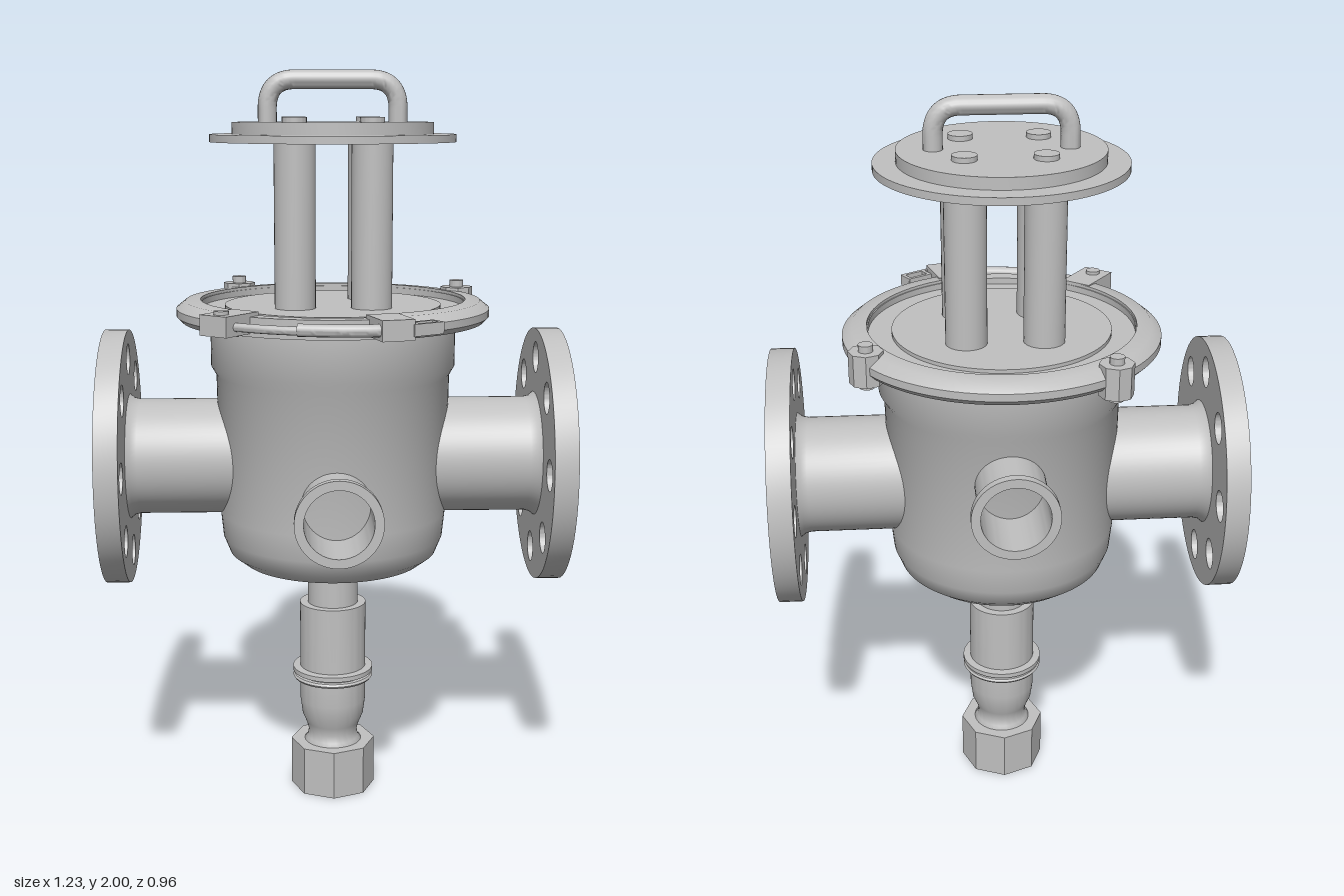
import * as THREE from 'three';
import { toCreasedNormals } from 'three/addons/utils/BufferGeometryUtils.js';

export function createModel() {
  const model = new THREE.Group();
  const steel = new THREE.MeshStandardMaterial({ color: 0xc0c0c0 });
  steel.name = 'steel';

  const add = (name, geometry, parent = model) => {
    const mesh = new THREE.Mesh(toCreasedNormals(geometry, 0.7), steel);
    mesh.name = name;
    parent.add(mesh);
    return mesh;
  };
  const lathe = (points, segments = 64, start = 0, length = Math.PI * 2) =>
    new THREE.LatheGeometry(points.map(p => new THREE.Vector2(...p)), segments, start, length);
  // upright cylinder between two heights
  const post = (r, y0, y1, x, z, sides = 32) =>
    new THREE.CylinderGeometry(r, r, y1 - y0, sides).translate(x, (y0 + y1) / 2, z);
  const hole = (x, y, r) => new THREE.Path().absarc(x, y, r, 0, Math.PI * 2, true);
  const tube = (points, r) => new THREE.TubeGeometry(
    new THREE.CatmullRomCurve3(points.map(p => new THREE.Vector3(...p))), 32, r, 12);

  // Vessel with rounded floor, wider neck, rim and recessed cover
  add('vessel', lathe([
    [0, 0.67], [0.2, 0.67], [0.25, 0.678], [0.285, 0.705], [0.303, 0.75], [0.31, 0.82],
    [0.316, 1.2], [0.33, 1.225], [0.33, 1.345], [0.39, 1.345], [0.39, 1.395],
    [0.352, 1.395], [0.352, 1.378], [0.29, 1.378], [0.29, 1.388], [0, 1.388],
  ], 96));

  // Side pipes with drilled blind flanges
  const disc = new THREE.Shape().absarc(0, 0, 0.346, 0, Math.PI * 2);
  for (let i = 0; i < 8; i++) {
    const a = i * Math.PI / 4;
    disc.holes.push(hole(Math.cos(a) * 0.268, Math.sin(a) * 0.268, 0.042));
  }
  for (const side of [1, -1]) {
    const port = new THREE.Group();
    port.name = side > 0 ? 'leftPort' : 'rightPort';
    port.position.y = 0.97;
    port.rotation.y = side * Math.PI / 2;
    model.add(port);
    add('flange', new THREE.ExtrudeGeometry(disc, { depth: 0.063, bevelEnabled: false, curveSegments: 32 })
      .translate(0, 0, 0.554), port);
    add('pipe', lathe([[0.157, 0.2], [0.157, 0.525], [0.161, 0.542], [0.172, 0.556]])
      .rotateX(Math.PI / 2), port);
  }

  // Open front and back spigots
  for (const [name, y, turn] of [['frontSpigot', 0.9, 0], ['backSpigot', 1.068, Math.PI]]) {
    const spigot = add(name, lathe([
      [0.092, 0.24], [0.092, 0.438], [0.112, 0.454], [0.112, 0.478], [0.088, 0.478], [0.088, 0.24],
    ]).rotateX(Math.PI / 2));
    spigot.position.y = y;
    spigot.rotation.y = turn;
  }

  // Drain column and octagonal nut
  add('drainColumn', lathe([
    [0, 0.08], [0.08, 0.08], [0.08, 0.135], [0.072, 0.145], [0.068, 0.165], [0.075, 0.19],
    [0.086, 0.215], [0.092, 0.26], [0.092, 0.325], [0.108, 0.325], [0.112, 0.331], [0.108, 0.337],
    [0.098, 0.338], [0.098, 0.345], [0.112, 0.345], [0.112, 0.358], [0.092, 0.36],
    [0.092, 0.547], [0.07, 0.547], [0.07, 0.68],
  ]));
  const octagon = new THREE.Shape();
  for (let i = 0; i < 8; i++) {
    const a = i * Math.PI / 4, x = Math.cos(a) * 0.118, y = Math.sin(a) * 0.118;
    i ? octagon.lineTo(x, y) : octagon.moveTo(x, y);
  }
  octagon.closePath();
  octagon.holes.push(hole(0, 0, 0.08));
  add('drainNut', new THREE.ExtrudeGeometry(octagon, { depth: 0.136, bevelEnabled: false, curveSegments: 32 })
    .rotateX(-Math.PI / 2));

  // Raised lid carried on four rods
  add('lid', lathe([
    [0, 1.815], [0.325, 1.815], [0.325, 1.835], [0.266, 1.835], [0.266, 1.866], [0, 1.866],
  ], 96));
  for (const x of [-0.102, 0.099]) for (const z of [-0.108, 0.097]) {
    add('rod', post(0.054, 1.37, 1.82, x, z));
    add('rodStud', post(0.032, 1.86, 1.879, x, z));
  }

  // Lid handle with rounded bends
  const grip = new THREE.CurvePath();
  const v = (x, y) => new THREE.Vector3(x, y, -0.005);
  grip.add(new THREE.LineCurve3(v(-0.172, 1.86), v(-0.172, 1.9)));
  grip.add(new THREE.QuadraticBezierCurve3(v(-0.172, 1.9), v(-0.172, 1.975), v(-0.1, 1.975)));
  grip.add(new THREE.LineCurve3(v(-0.1, 1.975), v(0.1, 1.975)));
  grip.add(new THREE.QuadraticBezierCurve3(v(0.1, 1.975), v(0.172, 1.975), v(0.172, 1.9)));
  grip.add(new THREE.LineCurve3(v(0.172, 1.9), v(0.172, 1.86)));
  add('handle', new THREE.TubeGeometry(grip, 80, 0.025, 20));

  // Clamp ring, open at the front between the two brackets
  const deg = Math.PI / 180;
  add('clampRing', lathe([
    [0.355, 1.345], [0.405, 1.345], [0.42, 1.36], [0.42, 1.38], [0.395, 1.4],
    [0.355, 1.403], [0.355, 1.345],
  ], 80, 18 * deg, 305 * deg));

  // Hinge lugs with bolts
  for (const [x, z] of [[-0.26, -0.32], [0.356, -0.195]]) {
    add('hingeLug', post(0.045, 1.325, 1.41, x, z, 8));
    add('hingeBolt', post(0.019, 1.31, 1.428, x, z));
  }

  // Latch brackets at the ring ends
  for (const [x, z, angle, length] of [[-0.268, 0.322, -37, 0.13], [0.127, 0.405, 16, 0.12]]) {
    const bracket = add('latchBracket', new THREE.BoxGeometry(0.084, 0.052, length));
    bracket.position.set(x, 1.379, z);
    bracket.rotation.y = angle * deg;
  }
  add('latchScrew', post(0.019, 1.35, 1.414, -0.287, 0.347));

  // Latch wire, lever and forked tail
  add('latchWire', tube([[-0.28, 1.376, 0.35], [-0.18, 1.376, 0.41], [-0.09, 1.376, 0.442], [0, 1.376, 0.45]], 0.011));
  add('latchLever', tube([[-0.1, 1.378, 0.438], [-0.02, 1.378, 0.452], [0.07, 1.378, 0.456], [0.16, 1.378, 0.44]], 0.016));
  const fork = new THREE.Group();
  fork.name = 'latchFork';
  fork.position.set(0.208, 1.378, 0.412);
  fork.rotation.y = 32 * deg;
  model.add(fork);
  for (const z of [-0.018, 0.018]) {
    add('forkArm', new THREE.BoxGeometry(0.09, 0.03, 0.01).translate(0, 0, z), fork);
  }
  for (const x of [-0.025, 0.041]) {
    add('forkBar', new THREE.BoxGeometry(0.01, 0.03, 0.04).translate(x, 0, 0), fork);
  }

  return model;
}
